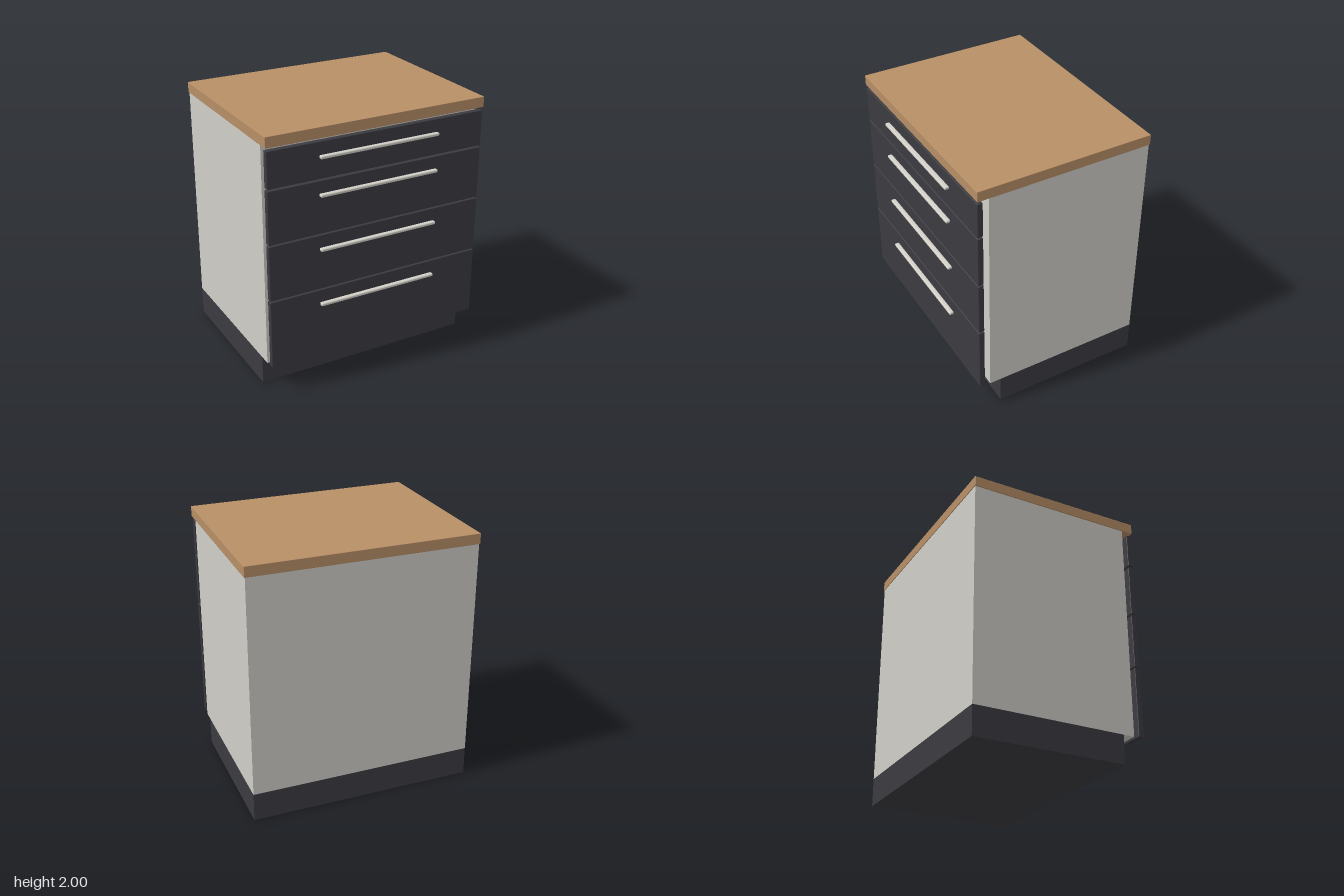
import * as THREE from 'three';
import { RoundedBoxGeometry } from 'three/addons/geometries/RoundedBoxGeometry.js';

const material = (name, color) => {
  const m = new THREE.MeshStandardMaterial({ color });
  m.name = name;
  return m;
};

export function createModel() {
  const model = new THREE.Group();
  model.name = 'drawerCabinet';

  const wood = material('wood', 0xb88f66);
  const charcoal = material('charcoal', 0x3b3a40);
  const paleGrey = material('paleGrey', 0xd0cec8);
  const handleGrey = material('handleGrey', 0xd2d0c8);

  // Box given by half width and its y and z limits; radius softens the edges
  const addBox = (name, mat, halfX, y0, y1, z0, z1, radius = 0) => {
    const size = [halfX * 2, y1 - y0, z1 - z0];
    const geometry = radius
      ? new RoundedBoxGeometry(...size, 3, radius)
      : new THREE.BoxGeometry(...size);
    const mesh = new THREE.Mesh(geometry, mat);
    mesh.name = name;
    mesh.position.set(0, (y0 + y1) / 2, (z0 + z1) / 2);
    model.add(mesh);
  };

  // Recessed plinth, body and worktop
  addBox('plinth', charcoal, 0.868, 0, 0.222, -0.692, 0.488);
  addBox('carcass', paleGrey, 0.868, 0.222, 1.92, -0.692, 0.577);
  addBox('worktop', wood, 0.875, 1.92, 2, -0.697, 0.665, 0.003);

  // Drawer fronts standing clear of the body: bottom, top, handle height
  const drawers = [
    [0.23, 0.765, 0.656],
    [0.775, 1.2, 1.093],
    [1.21, 1.612, 1.508],
    [1.625, 1.897, 1.79],
  ];
  drawers.forEach(([bottom, top, handleY], i) => {
    addBox(`drawerFront${i + 1}`, charcoal, 0.868, bottom, top, 0.62, 0.663, 0.005);
    addBox(`handle${i + 1}`, handleGrey, 0.478, handleY - 0.012, handleY + 0.012, 0.661, 0.697, 0.009);
  });

  return model;
}
